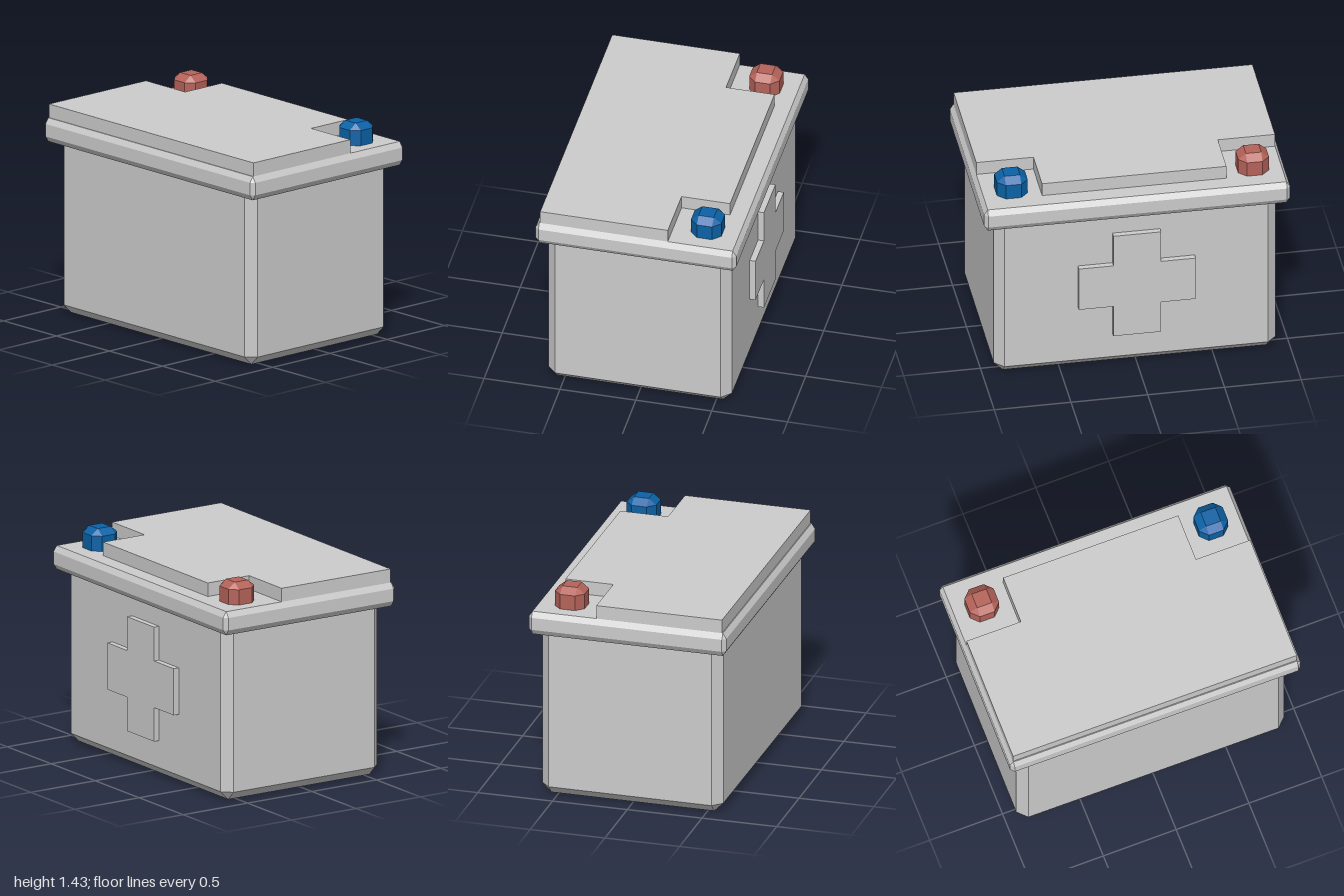
import * as THREE from 'three';

const grey = new THREE.MeshStandardMaterial({ color: 0xcccccc, flatShading: true });
const red = new THREE.MeshStandardMaterial({ color: 0xb5635a, flatShading: true });
const blue = new THREE.MeshStandardMaterial({ color: 0x0b62a6, flatShading: true });

// Box with chamfered upright edges; lower and upper chamfers have their own heights (0 = none).
function chamferBox(hx, hz, y0, y1, inset, low, high) {
  const ix = hx - inset, iz = hz - inset;
  const octagon = y => [[hx, iz], [hx, -iz], [ix, -hz], [-ix, -hz], [-hx, -iz], [-hx, iz], [-ix, hz], [ix, hz]]
    .map(([x, z]) => new THREE.Vector3(x, y, z));
  const square = y => [[1, 1], [1, -1], [1, -1], [-1, -1], [-1, -1], [-1, 1], [-1, 1], [1, 1]]
    .map(([sx, sz]) => new THREE.Vector3(sx * ix, y, sz * iz));
  const rings = [octagon(y0 + low), octagon(y1 - high)];
  if (low) rings.unshift(square(y0));
  if (high) rings.push(square(y1));

  const pos = [];
  const tri = (a, b, c) => {
    const area = new THREE.Triangle(a, b, c).getArea();
    if (area > 1e-7) for (const p of [a, b, c]) pos.push(p.x, p.y, p.z);
  };
  for (let r = 0; r < rings.length - 1; r++) {
    for (let i = 0; i < 8; i++) {
      const j = (i + 1) % 8, lo = rings[r], up = rings[r + 1];
      tri(lo[i], lo[j], up[j]);
      tri(lo[i], up[j], up[i]);
    }
  }
  const bottom = rings[0], top = rings[rings.length - 1];
  for (let i = 1; i < 7; i++) {
    tri(top[0], top[i], top[i + 1]);
    tri(bottom[0], bottom[i + 1], bottom[i]);
  }
  const geo = new THREE.BufferGeometry();
  geo.setAttribute('position', new THREE.Float32BufferAttribute(pos, 3));
  geo.computeVertexNormals();
  return geo;
}

function extrude(points, depth) {
  const shape = new THREE.Shape(points.map(([x, y]) => new THREE.Vector2(x, y)));
  return new THREE.ExtrudeGeometry(shape, { depth, bevelEnabled: false });
}

export function createModel() {
  const model = new THREE.Group();
  model.name = 'battery';
  const add = (name, geo, mat = grey) => {
    const mesh = new THREE.Mesh(geo, mat);
    mesh.name = name;
    model.add(mesh);
    return mesh;
  };

  // Case and rim of the lid
  add('case', chamferBox(0.918, 0.606, 0, 1.15, 0.06, 0.06, 0));
  add('lidRim', chamferBox(0.996, 0.662, 1.13, 1.287, 0.024, 0.037, 0.037));

  // Raised lid plate, notched at both back corners (shape y points to the back)
  const plate = extrude([
    [-0.972, -0.632], [0.972, -0.632], [0.972, 0.21], [0.6, 0.21],
    [0.6, 0.53], [-0.6, 0.53], [-0.6, 0.21], [-0.972, 0.21],
  ], 0.09);
  plate.rotateX(-Math.PI / 2);
  add('lidPlate', plate).position.y = 1.287;

  // Terminals standing in the notches
  for (const [name, side, mat] of [['rightTerminal', -1, red], ['leftTerminal', 1, blue]]) {
    add(name, chamferBox(0.1, 0.1, 1.28, 1.428, 0.05, 0, 0.04), mat)
      .position.set(side * 0.785, 0, -0.43);
  }

  // Raised cross on the back
  const a = 0.155, b = 0.38;
  const cross = extrude([
    [-a, -b], [a, -b], [a, -a], [b, -a], [b, a], [a, a],
    [a, b], [-a, b], [-a, a], [-b, a], [-b, -a], [-a, -a],
  ], 0.05);
  add('backCross', cross).position.set(0, 0.62, -0.645);

  // The whole battery is turned very slightly
  model.rotation.y = -0.006;
  return model;
}
